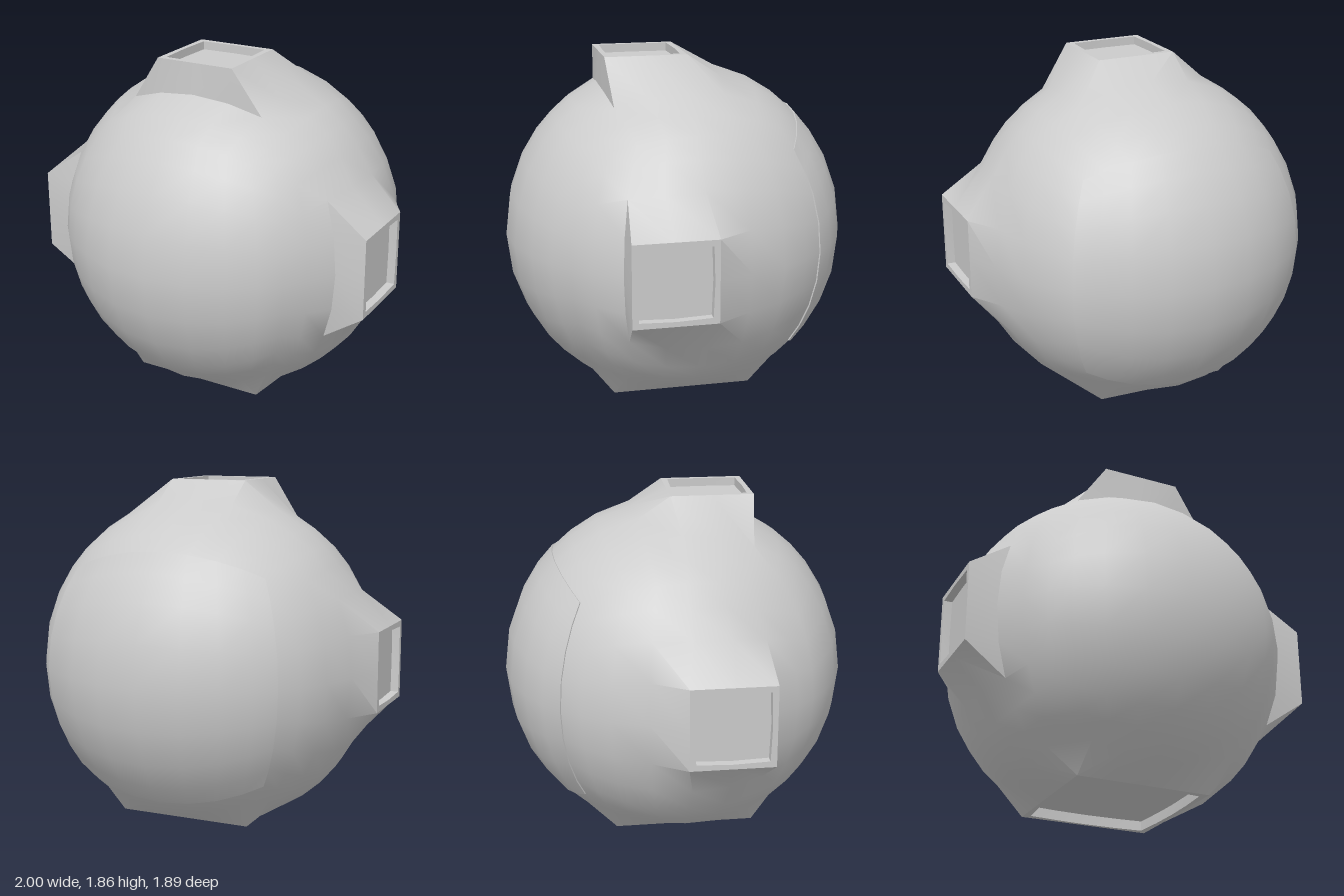
import * as THREE from 'three';
import { toCreasedNormals } from 'three/addons/utils/BufferGeometryUtils.js';

const R = 0.942;        // sphere radius
const CENTRE_Y = 0.85;  // height of the sphere centre
const H = 4;            // half the cells along one cube face
const V = (x, y, z) => new THREE.Vector3(x, y, z);

// Six cube faces: n outward, u and v across it (u x v = n).
const FACES = [
  { name: 'left', n: V(1, 0, 0), u: V(0, 1, 0), v: V(0, 0, 1), port: 1.0 },
  { name: 'right', n: V(-1, 0, 0), u: V(0, -1, 0), v: V(0, 0, 1), port: 1.0 },
  { name: 'top', n: V(0, 1, 0), u: V(-1, 0, 0), v: V(0, 0, 1), port: 1.01 },
  { name: 'bottom', n: V(0, -1, 0), u: V(1, 0, 0), v: V(0, 0, 1), base: 0.85 },
  { name: 'front', n: V(0, 0, 1), u: V(1, 0, 0), v: V(0, 1, 0) },
  { name: 'back', n: V(0, 0, -1), u: V(-1, 0, 0), v: V(0, 1, 0) },
];

const onFace = (f, a, b, h) =>
  V(0, 0, 0).addScaledVector(f.n, h).addScaledVector(f.u, a).addScaledVector(f.v, b);
const onSphere = (f, a, b, r = R) => onFace(f, a / H, b / H, 1).setLength(r);

// Grid point after raising the port platform or flattening the base
function shaped(f, a, b) {
  if (f.port && Math.abs(a) <= 1 && b >= 0 && b <= 2)
    return onFace(f, a * 0.222, -0.04 + b * 0.224, f.port);
  if (f.base && Math.abs(a) <= 2 && Math.abs(b) <= 2)
    return onFace(f, a * 0.188, b * 0.192 + 0.02, f.base);
  return onSphere(f, a, b);
}

// Collects triangles and turns them into a mesh, smooth except at sharp edges.
function builder() {
  const pos = [];
  const tri = (p, q, r) => {
    if (p.distanceTo(q) < 1e-6 || q.distanceTo(r) < 1e-6 || r.distanceTo(p) < 1e-6) return;
    for (const w of [p, q, r]) pos.push(w.x, w.y, w.z);
  };
  return {
    tri,
    quad(p, q, r, s) { tri(p, q, r); tri(p, r, s); },
    mesh(name) {
      const g = new THREE.BufferGeometry();
      g.setAttribute('position', new THREE.Float32BufferAttribute(pos, 3));
      const m = new THREE.Mesh(toCreasedNormals(g, 0.66),
        new THREE.MeshStandardMaterial({ color: 0xcccccc }));
      m.name = name;
      return m;
    },
  };
}

// Outline of a square patch of grid points, in order around it
function outline(a0, b0, size) {
  const pts = [];
  for (let i = 0; i < size; i++) pts.push([a0 + i, b0]);
  for (let i = 0; i < size; i++) pts.push([a0 + size, b0 + i]);
  for (let i = 0; i < size; i++) pts.push([a0 + size - i, b0 + size]);
  for (let i = 0; i < size; i++) pts.push([a0, b0 + size - i]);
  return pts;
}

// Flat rim, short inner walls and sunken floor
function recess(f, a0, b0, size, scale, depth, bulge, name) {
  const rim = outline(a0, b0, size).map(([a, b]) => shaped(f, a, b));
  const mid = shaped(f, a0 + size / 2, b0 + size / 2);
  const floorMid = mid.clone().addScaledVector(f.n, -depth);
  const inner = rim.map((p, i) => {
    const s = scale + bulge * Math.sin(Math.PI * (i % size) / size);
    return mid.clone().lerp(p, s);
  });
  const floor = inner.map((p) => p.clone().addScaledVector(f.n, -depth));
  const frame = builder(), plate = builder();
  rim.forEach((p, i) => {
    const k = (i + 1) % rim.length;
    frame.quad(p, rim[k], inner[k], inner[i]);
    frame.quad(inner[i], inner[k], floor[k], floor[i]);
    plate.tri(floor[i], floor[k], floorMid);
  });
  const g = new THREE.Group();
  g.name = name;
  g.add(frame.mesh(name + 'Rim'), plate.mesh(name + 'Floor'));
  return g;
}

export function createModel() {
  const model = new THREE.Group();
  model.name = 'sphericalShell';
  const parts = new THREE.Group();
  parts.name = 'parts';
  parts.position.y = CENTRE_Y;
  model.add(parts);

  // Shell: rounded cube grid whose port flanks are pulled out of the sphere
  const shell = builder();
  for (const f of FACES) {
    for (let a = -H; a < H; a++) {
      for (let b = -H; b < H; b++) {
        if (f.port && a >= -1 && a < 1 && b >= 0 && b < 2) continue;
        if (f.base && a >= -2 && a < 2 && b >= -2 && b < 2) continue;
        // In front of a port the grid stays on the sphere
        const at = f.port && b >= 2 ? onSphere : shaped;
        shell.quad(at(f, a, b), at(f, a + 1, b), at(f, a + 1, b + 1), at(f, a, b + 1));
      }
    }
    // Steep wall on the front side of each port
    if (f.port) for (let a = -2; a < 2; a++)
      shell.quad(onSphere(f, a + 1, 2), onSphere(f, a, 2), shaped(f, a, 2), shaped(f, a + 1, 2));
  }
  parts.add(shell.mesh('shell'));

  // Recessed ports on both sides and the top, and the recessed base
  for (const f of FACES) {
    if (f.port) parts.add(recess(f, -1, 0, 2, 0.85, 0.045, 0.03, f.name + 'Port'));
    if (f.base) parts.add(recess(f, -2, -2, 4, 0.9, 0.055, 0.05, 'base'));
  }

  // Slightly raised back panel with a thin edge
  const back = FACES[5], rp = R + 0.007, panel = builder();
  for (let a = -H; a < H; a++)
    for (let b = -H; b < H; b++)
      panel.quad(onSphere(back, a, b, rp), onSphere(back, a + 1, b, rp),
        onSphere(back, a + 1, b + 1, rp), onSphere(back, a, b + 1, rp));
  const edge = outline(-H, -H, 2 * H);
  edge.forEach(([a, b], i) => {
    const [c, d] = edge[(i + 1) % edge.length];
    panel.quad(onSphere(back, c, d, rp), onSphere(back, a, b, rp),
      onSphere(back, a, b, R - 0.02), onSphere(back, c, d, R - 0.02));
  });
  parts.add(panel.mesh('backPanel'));

  return model;
}
